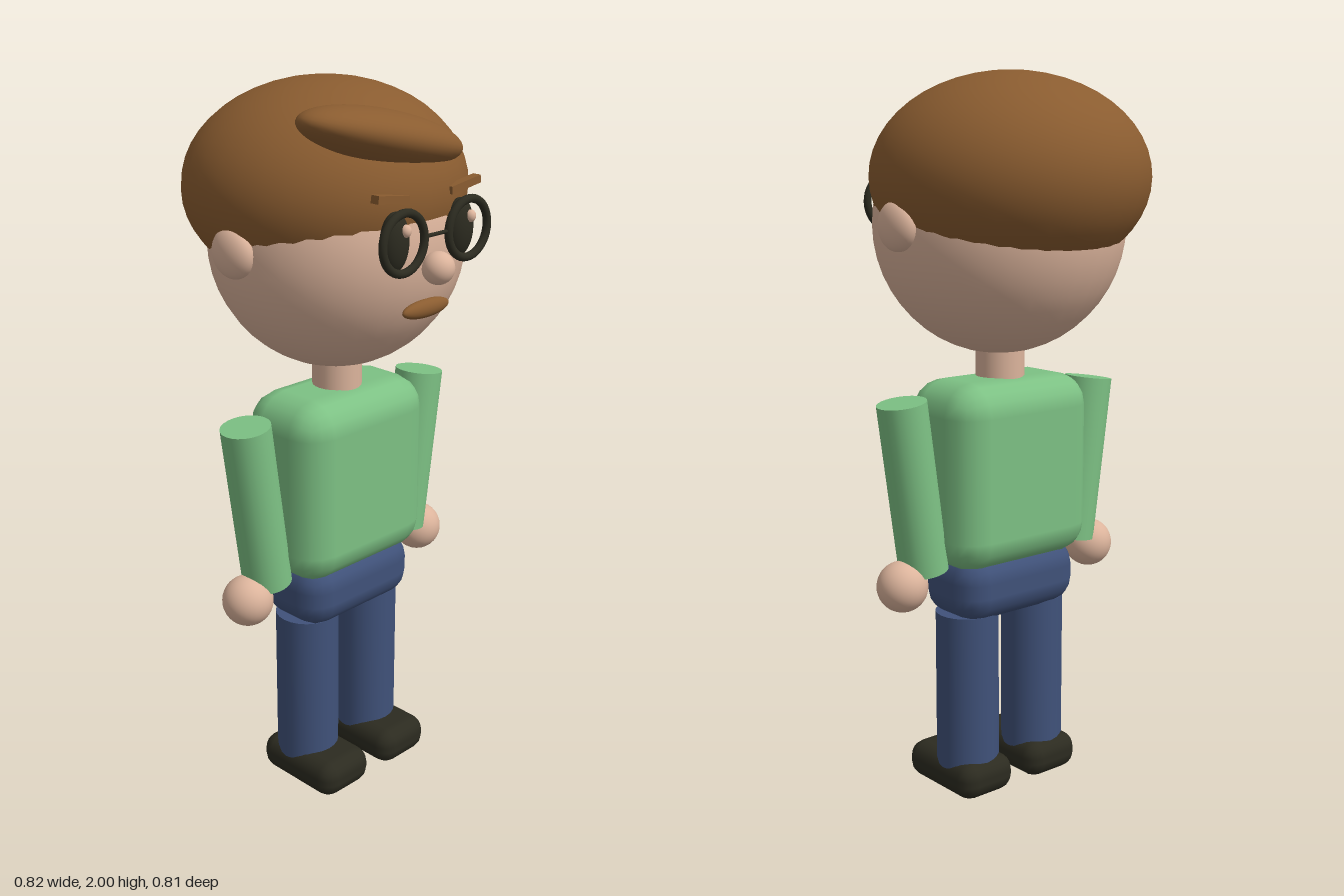
import * as THREE from 'three';
import { RoundedBoxGeometry } from 'three/addons/geometries/RoundedBoxGeometry.js';

const material = (name, color) => {
  const m = new THREE.MeshStandardMaterial({ color });
  m.name = name;
  return m;
};

export function createModel() {
  const skin = material('skin', 0xdcb49c);
  const hair = material('brown hair', 0x8a5c30);
  const green = material('green shirt', 0x7dc184);
  const blue = material('blue trousers', 0x40527a);
  const dark = material('dark', 0x2c2b20);

  const group = new THREE.Group();
  group.name = 'figure';

  const add = (name, geometry, mat, x, y, z) => {
    const mesh = new THREE.Mesh(geometry, mat);
    mesh.name = name;
    mesh.position.set(x, y, z);
    group.add(mesh);
    return mesh;
  };
  const ellipsoid = (name, mat, [x, y, z], [rx, ry, rz]) => {
    const mesh = add(name, new THREE.SphereGeometry(1, 32, 24), mat, x, y, z);
    mesh.scale.set(rx, ry, rz);
    return mesh;
  };
  const roundedBox = (name, mat, [x, y, z], [w, h, d], radius) =>
    add(name, new RoundedBoxGeometry(w, h, d, 2, radius), mat, x, y, z);
  const cylinder = (name, mat, [x, y, z], radius, height) =>
    add(name, new THREE.CylinderGeometry(radius, radius, height, 24), mat, x, y, z);

  const Z = 0.01; // depth of the body axis

  // Head and hair: the hair is a larger ellipsoid set up and back
  ellipsoid('head', skin, [0, 1.598, Z], [0.35, 0.35, 0.333]);
  ellipsoid('hair', hair, [0, 1.723, -0.035], [0.38, 0.277, 0.371]);
  const quiff = ellipsoid('quiff', hair, [-0.07, 1.887, 0.235], [0.275, 0.065, 0.12]);
  quiff.rotation.z = -0.23;

  // Face
  ellipsoid('nose', skin, [0, 1.57, 0.363], [0.042, 0.042, 0.042]);
  ellipsoid('mouth', hair, [0, 1.46, 0.325], [0.085, 0.024, 0.02]);
  const bridge = cylinder('glassesBridge', dark, [0, 1.655, 0.355], 0.005, 0.1);
  bridge.rotation.z = Math.PI / 2;

  // Neck, torso and hips
  cylinder('neck', skin, [0, 1.21, Z], 0.068, 0.16);
  roundedBox('torso', green, [0, 0.925, Z], [0.474, 0.52, 0.286], 0.09);
  roundedBox('hips', blue, [0, 0.61, Z], [0.41, 0.19, 0.238], 0.075);

  // Paired parts
  for (const side of [1, -1]) {
    const label = side > 0 ? 'left' : 'right';
    ellipsoid(label + 'Ear', skin, [side * 0.35, 1.605, -0.003], [0.04, 0.066, 0.068]);
    ellipsoid(label + 'Eye', dark, [side * 0.12, 1.648, 0.325], [0.043, 0.075, 0.03]);
    ellipsoid(label + 'EyeHighlight', skin, [side * 0.12 + 0.012, 1.678, 0.351], [0.014, 0.016, 0.014]);
    add(label + 'GlassesRim', new THREE.TorusGeometry(0.074, 0.011, 12, 40), dark, side * 0.119, 1.65, 0.355);
    const brow = add(label + 'Eyebrow', new THREE.BoxGeometry(0.11, 0.02, 0.025), hair, side * 0.133, 1.754, 0.322);
    brow.rotation.z = side * 0.14;

    // Arm leaning in towards the hip, with a round hand
    const arm = cylinder(label + 'Arm', green, [side * 0.303, 0.909, Z], 0.068, 0.475);
    arm.rotation.z = -side * 0.14;
    ellipsoid(label + 'Hand', skin, [side * 0.342, 0.643, Z], [0.07, 0.07, 0.07]);

    cylinder(label + 'Leg', blue, [side * 0.12, 0.305, Z], 0.089, 0.45);
    roundedBox(label + 'Shoe', dark, [side * 0.12, 0.053, 0.043], [0.184, 0.106, 0.287], 0.045);
  }

  return group;
}
